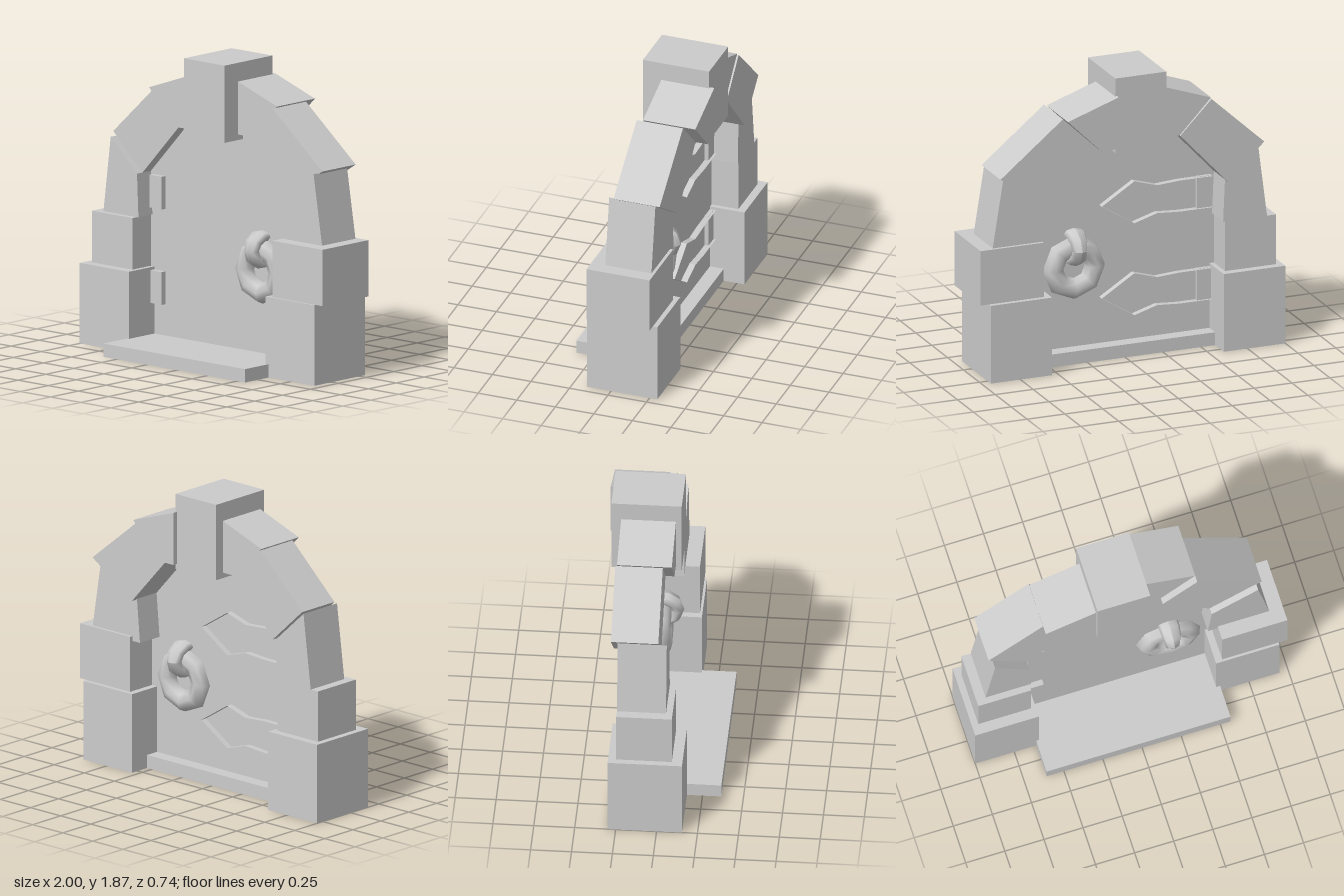
import * as THREE from 'three';

const stone = new THREE.MeshStandardMaterial({ color: 0xcccccc, flatShading: true });
const thin = new THREE.MeshStandardMaterial({ color: 0xcccccc, flatShading: true, side: THREE.DoubleSide });
const smooth = new THREE.MeshStandardMaterial({ color: 0xcccccc });

const DOOR_Z = -0.075;

function add(group, name, geometry, material = stone) {
  const mesh = new THREE.Mesh(geometry, material);
  mesh.name = name;
  group.add(mesh);
  return mesh;
}

const shapeOf = (points) => new THREE.Shape(points.map(([x, y]) => new THREE.Vector2(x, y)));

// Box given by its limits on each axis
function block(group, name, [x0, x1], [y0, y1], [z0, z1]) {
  const mesh = add(group, name, new THREE.BoxGeometry(x1 - x0, y1 - y0, z1 - z0));
  mesh.position.set((x0 + x1) / 2, (y0 + y1) / 2, (z0 + z1) / 2);
}

// Stone with a four-cornered front, extruded between two depths
function wedge(group, name, corners, [z0, z1]) {
  const geometry = new THREE.ExtrudeGeometry(shapeOf(corners), { depth: z1 - z0, bevelEnabled: false });
  add(group, name, geometry.translate(0, 0, z0));
}

// Open band of walls following an outline
function wallBand(points, z0, z1) {
  const position = [], index = [];
  points.forEach(([x, y], i) => {
    position.push(x, y, z0, x, y, z1);
    if (i < points.length - 1) {
      const a = 2 * i;
      index.push(a, a + 2, a + 1, a + 1, a + 2, a + 3);
    }
  });
  const geometry = new THREE.BufferGeometry();
  geometry.setAttribute('position', new THREE.Float32BufferAttribute(position, 3));
  geometry.setIndex(index);
  geometry.computeVertexNormals();
  return geometry;
}

export function createModel() {
  const model = new THREE.Group();
  model.name = 'archedDoorway';

  // Threshold and pillar stones
  block(model, 'doorstep', [-0.61, 0.565], [0, 0.083], [-0.165, 0.365]);
  block(model, 'rightBaseStone', [-1, -0.593], [0, 0.5], [-0.3, 0.155]);
  block(model, 'leftBaseStone', [0.54, 0.945], [0, 0.5], [-0.3, 0.155]);
  block(model, 'rightMiddleStone', [-0.96, -0.622], [0.5, 0.82], [-0.25, 0.09]);
  block(model, 'leftMiddleStone', [0.583, 1], [0.5, 0.85], [-0.27, 0.14]);

  // Arch stones
  wedge(model, 'rightSpringerStone', [[-0.9, 0.82], [-0.61, 0.82], [-0.622, 1.09], [-0.84, 1.29]], [-0.25, 0.05]);
  wedge(model, 'leftSpringerStone', [[0.52, 0.82], [0.917, 0.82], [0.842, 1.285], [0.545, 1.1]], [-0.25, 0.05]);
  wedge(model, 'rightHaunchStone', [[-0.865, 1.315], [-0.622, 1.09], [-0.31, 1.425], [-0.517, 1.635]], [-0.29, 0]);
  wedge(model, 'leftHaunchStone', [[0.55, 1.09], [0.877, 1.3], [0.465, 1.635], [0.245, 1.425]], [-0.29, 0.01]);
  wedge(model, 'rightCrownStone', [[-0.31, 1.425], [-0.19, 1.425], [-0.19, 1.757], [-0.517, 1.642]], [-0.28, 0.055]);
  wedge(model, 'leftCrownStone', [[0.13, 1.425], [0.245, 1.425], [0.465, 1.642], [0.13, 1.757]], [-0.37, -0.03]);
  block(model, 'keystone', [-0.197, 0.14], [1.39, 1.87], [-0.34, 0.09]);

  // Door panel, tucked slightly behind the surrounding stones
  const door = new THREE.ShapeGeometry(shapeOf([
    [-0.66, 0.02], [0.61, 0.02], [0.61, 1.1], [0.27, 1.47], [-0.33, 1.47], [-0.66, 1.11],
  ]));
  add(model, 'doorPanel', door.translate(0, 0, DOOR_Z), thin);

  // Hinges: a knuckle on the front and a raised strap outline on the back
  const upper = [[-0.6, 0.1], [-0.38, 0.1], [-0.23, 0.09], [-0.08, 0.135], [0.135, 0]];
  const lower = upper.slice(0, -1).reverse().map(([x, y]) => [x, -y]);
  for (const [label, y] of [['lower', 0.38], ['upper', 0.972]]) {
    const hinge = new THREE.Group();
    hinge.name = label + 'Hinge';
    hinge.position.y = y;
    block(hinge, 'hingeKnuckle', [-0.6, -0.5], [-0.102, 0.102], [DOOR_Z - 0.025, -0.04]);
    add(hinge, 'hingeStrap', wallBand([...upper, ...lower], DOOR_Z - 0.04, DOOR_Z), thin);
    model.add(hinge);
  }

  // Ring handle passing through the door
  const ring = add(model, 'handleRing', new THREE.TorusGeometry(0.138, 0.067, 8, 8), smooth);
  ring.position.set(0.305, 0.595, DOOR_Z);

  // Loop holding the ring, pinched at mid height
  const loop = new THREE.TorusGeometry(0.085, 0.037, 8, 10).rotateY(Math.PI / 2);
  const p = loop.attributes.position;
  for (let i = 0; i < p.count; i++) {
    const y = p.getY(i);
    const width = 1.25 + 0.6 * Math.min(1, Math.abs(y) / 0.1) * (y > 0 ? 1 : 0.4);
    p.setXYZ(i, p.getX(i) * width, y, p.getZ(i) * 1.17);
  }
  loop.computeVertexNormals();
  const holder = add(model, 'ringHolder', loop, smooth);
  holder.position.set(0.305, 0.73, DOOR_Z);

  return model;
}
